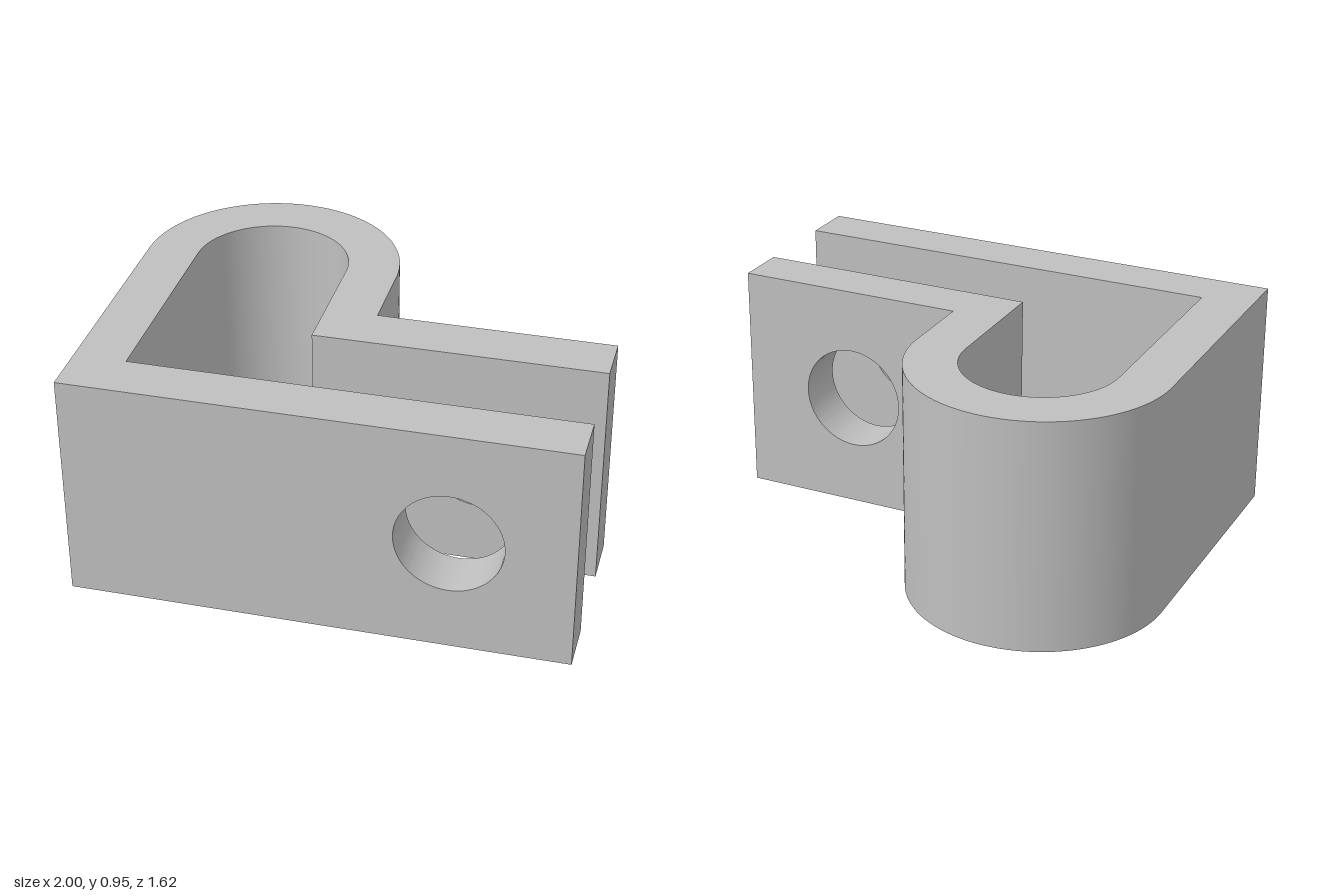
import * as THREE from 'three';
import { toCreasedNormals } from 'three/addons/utils/BufferGeometryUtils.js';

const HEIGHT = 0.95, THICK = 0.21;
const HOLE = { x: 0.515, y: 0.475, r: 0.213 };

function extrude(shape, depth) {
  const geometry = new THREE.ExtrudeGeometry(shape, { depth, bevelEnabled: false, curveSegments: 64 });
  return toCreasedNormals(geometry, 0.5);
}

// Upright plate with a bolt hole, from xMin to x = 1, back face at zBack
function plate(name, xMin, zBack, material) {
  const shape = new THREE.Shape([
    new THREE.Vector2(xMin, 0), new THREE.Vector2(1, 0),
    new THREE.Vector2(1, HEIGHT), new THREE.Vector2(xMin, HEIGHT),
  ]);
  shape.holes.push(new THREE.Path().absarc(HOLE.x, HOLE.y, HOLE.r, 0, Math.PI * 2, true));
  const mesh = new THREE.Mesh(extrude(shape, THICK), material);
  mesh.position.z = zBack;
  mesh.name = name;
  return mesh;
}

// Bent band: side wall, half-round bend and short return wall (shape y is -z)
function bentBand(material) {
  const cx = -0.475, cy = 0.285, outer = 0.525, inner = outer - THICK;
  const shape = new THREE.Shape();
  shape.moveTo(cx - outer, -0.6);
  shape.lineTo(cx - outer, cy);
  shape.absarc(cx, cy, outer, Math.PI, 0, true);
  shape.lineTo(cx + outer, -0.24);
  shape.lineTo(cx + inner, -0.24);
  shape.lineTo(cx + inner, cy);
  shape.absarc(cx, cy, inner, 0, Math.PI, false);
  shape.lineTo(cx - inner, -0.6);
  shape.closePath();
  const mesh = new THREE.Mesh(extrude(shape, HEIGHT), material);
  mesh.rotation.x = -Math.PI / 2;
  mesh.name = 'bentBand';
  return mesh;
}

export function createModel() {
  const steel = new THREE.MeshStandardMaterial({ color: 0xbfbfbf });
  steel.name = 'grey steel';
  const clamp = new THREE.Group();
  clamp.name = 'pipeClamp';
  clamp.add(
    plate('frontPlate', -1, 0.6, steel),
    plate('rearFlange', 0.05, 0.03, steel),
    bentBand(steel),
  );
  return clamp;
}
